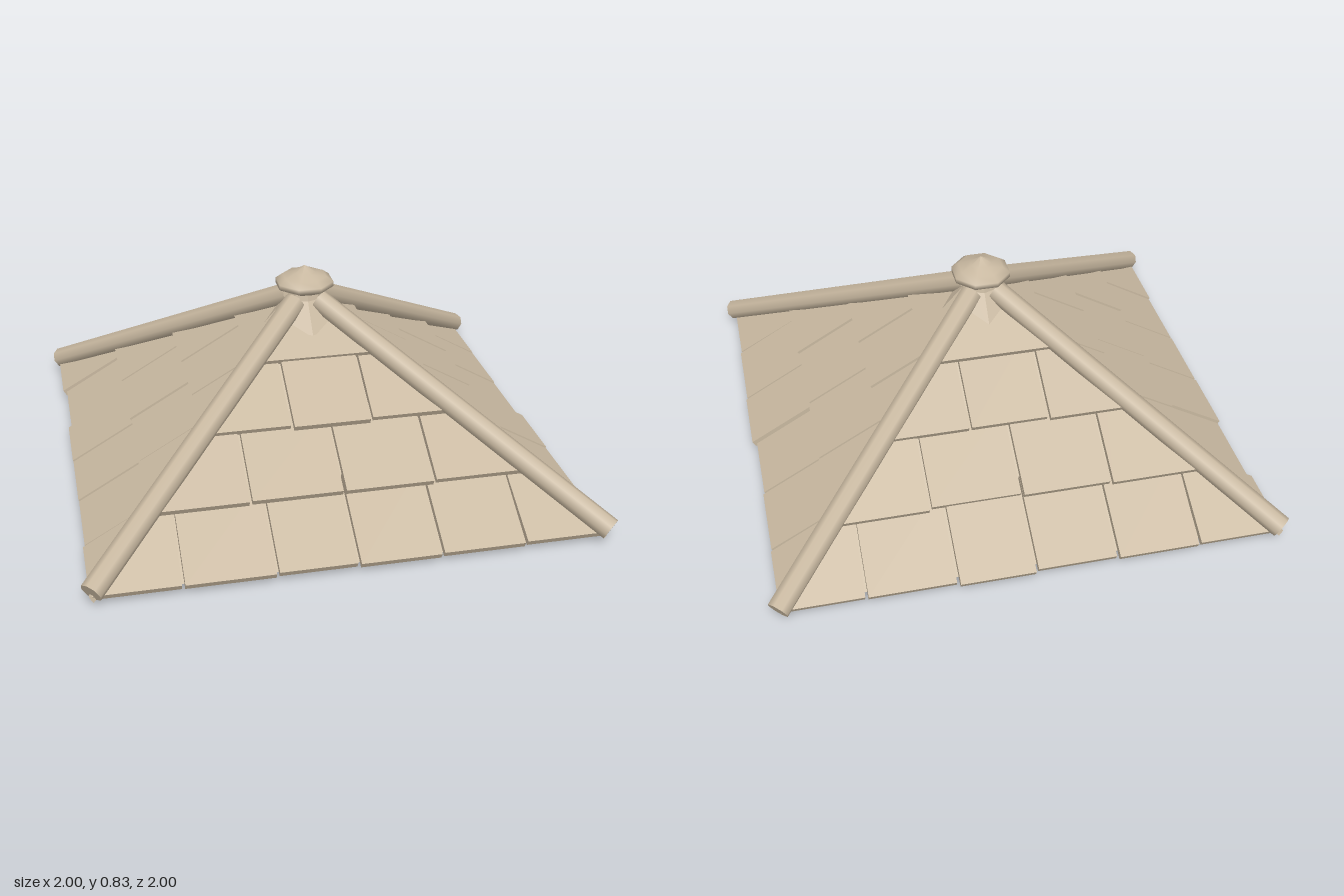
import * as THREE from 'three';

const SLOPE = 0.58;     // rise of a tile's top face per unit of depth
const THICK = 0.027;
const N = new THREE.Vector2(SLOPE, 1).normalize(); // tile normal in (z, y)

// Rows from eave to top: edge height, inner depth, hip-to-hip tile joints
const ROWS = [
  { y: 0.047, inner: 0.64, joints: [-0.97, -0.642, -0.3, 0, 0.316, 0.64, 0.97] },
  { y: 0.215, inner: 0.41, joints: [-0.73, -0.355, 0, 0.35, 0.73] },
  { y: 0.38, inner: 0.17, joints: [-0.49, -0.15, 0.16, 0.49] },
  { y: 0.542, inner: 0.01, joints: [-0.255, 0.255] },
];

// Outer edge depth of each tile, per side of the roof
const SIDES = [
  { name: 'front', turn: 0, edges: [[0.965, 0.967, 0.96, 0.968, 0.962, 0.955], [0.735, 0.73, 0.73, 0.722], [0.49, 0.503, 0.49], [0.25]] },
  { name: 'left', turn: 1, edges: [[0.96, 0.965, 0.97, 0.952, 0.957, 0.96], [0.728, 0.722, 0.725, 0.73], [0.487, 0.485, 0.482], [0.262]] },
  { name: 'back', turn: 2, edges: [[0.957, 0.96, 0.973, 0.96, 0.968, 0.963], [0.735, 0.72, 0.73, 0.737], [0.495, 0.493, 0.502], [0.266]] },
  { name: 'right', turn: 3, edges: [[0.973, 0.957, 0.97, 0.968, 0.966, 0.973], [0.728, 0.728, 0.722, 0.73], [0.492, 0.49, 0.492], [0.255]] },
];

// Sloping slab whose ends are cut along the hips
function tileGeometry(x0, x1, outer, inner, edgeY) {
  const clip = (x, z) => Math.max(-z, Math.min(z, x));
  const top = [[x0, outer], [x1, outer], [x1, inner], [x0, inner]].map(([x, z]) =>
    new THREE.Vector3(clip(x, z), edgeY + (outer - z) * SLOPE, z));
  const low = top.map((p) => new THREE.Vector3(p.x, p.y - N.y * THICK, p.z - N.x * THICK));
  const points = [];
  const quad = (a, b, c, d) => points.push(a, b, c, a, c, d);
  quad(...top);
  quad(low[3], low[2], low[1], low[0]);
  for (let i = 0; i < 4; i++) {
    const j = (i + 1) % 4;
    quad(low[i], low[j], top[j], top[i]);
  }
  const geometry = new THREE.BufferGeometry().setFromPoints(points);
  geometry.computeVertexNormals();
  return geometry;
}

export function createModel() {
  const model = new THREE.Group();
  model.name = 'tiledRoof';
  const clay = new THREE.MeshStandardMaterial({ color: 0xc8b8a0 });
  clay.name = 'sandy clay';

  const add = (parent, name, geometry) => {
    const mesh = new THREE.Mesh(geometry, clay);
    mesh.name = name;
    parent.add(mesh);
    return mesh;
  };

  // Solid pyramid under the tiles
  const core = new THREE.ConeGeometry(0.887 * Math.SQRT2, 0.63, 4, 1).toNonIndexed();
  core.rotateY(Math.PI / 4).translate(0, 0.315, 0);
  core.computeVertexNormals();
  add(model, 'roofCore', core);

  // Four tiled slopes
  for (const side of SIDES) {
    const slope = new THREE.Group();
    slope.name = side.name + 'Slope';
    slope.rotation.y = side.turn * Math.PI / 2;
    ROWS.forEach((row, r) => {
      side.edges[r].forEach((outer, i) => {
        const last = row.joints.length - 2;
        const x0 = row.joints[i] + (i > 0 ? 0.006 : 0);
        const x1 = row.joints[i + 1] - (i < last ? 0.006 : 0);
        add(slope, 'tile', tileGeometry(x0, x1, outer, row.inner, row.y));
      });
    });
    model.add(slope);
  }

  // Round poles along the hips
  for (const sx of [-1, 1]) {
    for (const sz of [-1, 1]) {
      const foot = new THREE.Vector3(0.966 * sx, 0.064, 0.966 * sz);
      const head = new THREE.Vector3(0.05 * sx, 0.695, 0.05 * sz);
      const axis = head.clone().sub(foot);
      const pole = add(model, 'hipPole', new THREE.CylinderGeometry(0.044, 0.044, axis.length(), 8));
      pole.position.copy(foot).add(head).multiplyScalar(0.5);
      pole.quaternion.setFromUnitVectors(new THREE.Vector3(0, 1, 0), axis.normalize());
    }
  }

  // Finial: flared collar with a faceted knob
  const profile = (points) => new THREE.LatheGeometry(points.map(([x, y]) => new THREE.Vector2(x, y)), 8);
  const collar = profile([[0, 0.595], [0.165, 0.595], [0.07, 0.7], [0.06, 0.735], [0, 0.735]]).toNonIndexed();
  collar.computeVertexNormals();
  add(model, 'finialCollar', collar);
  const knob = profile([[0, 0.715], [0.06, 0.72], [0.118, 0.748], [0.118, 0.768], [0.09, 0.788], [0.045, 0.803], [0, 0.83]]);
  knob.rotateY(Math.PI / 8);
  add(model, 'finialKnob', knob);

  return model;
}
